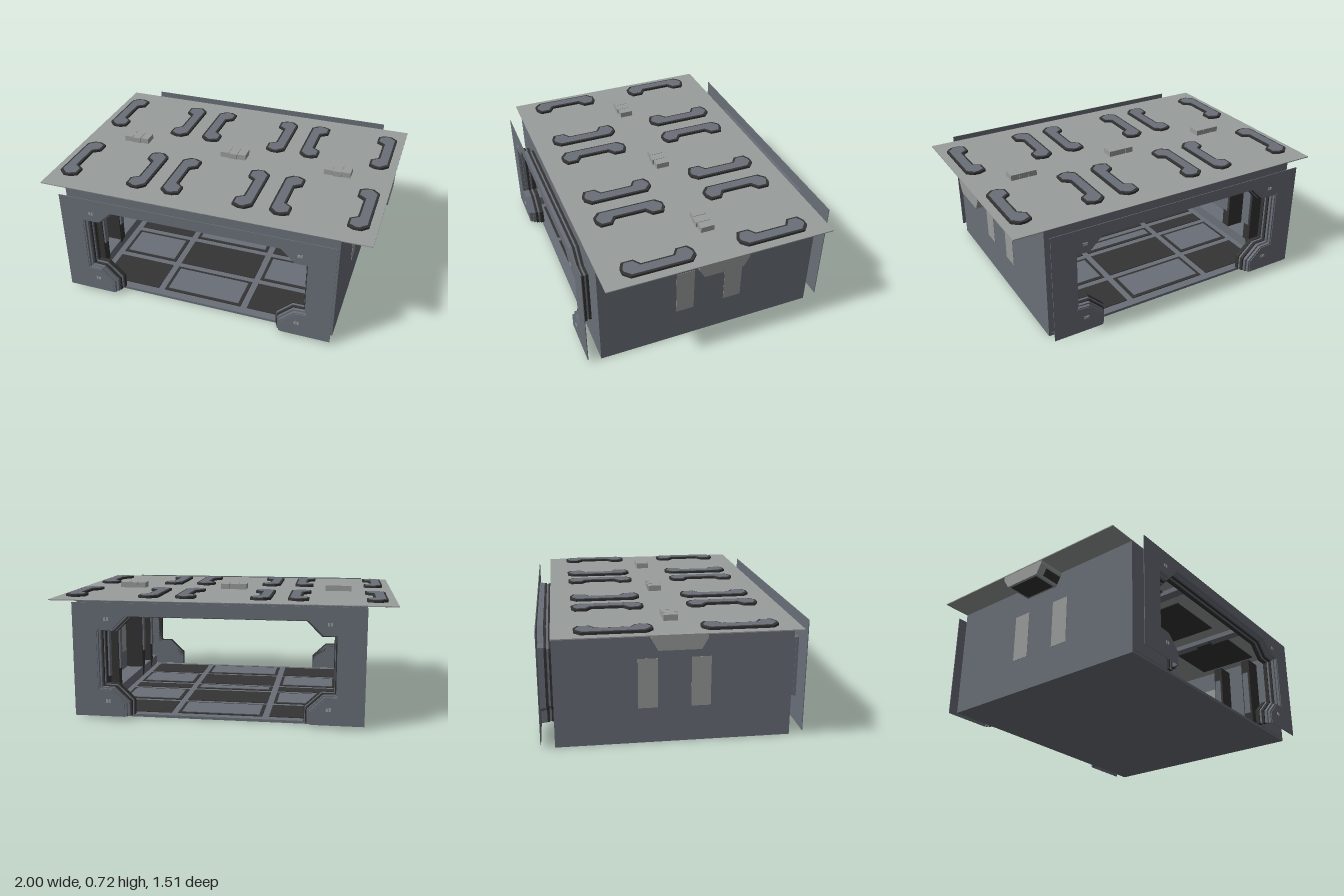
import * as THREE from 'three';

export function createModel() {
  const root = new THREE.Group();
  const mat = (name, color) => {
    const m = new THREE.MeshStandardMaterial({ color, side: THREE.DoubleSide, flatShading: true });
    m.name = name;
    return m;
  };
  const steel = mat('blue grey steel', 0x6a6f78);
  const pale = mat('pale grey', 0x999d9b);
  const dark = mat('dark grey', 0x343434);

  const add = (name, geo, m, parent = root) => {
    const mesh = new THREE.Mesh(geo, m);
    mesh.name = name;
    parent.add(mesh);
    return mesh;
  };
  // box given by its minimum and maximum corners
  const box = (name, m, [x0, y0, z0], [x1, y1, z1], parent = root) => {
    const b = add(name, new THREE.BoxGeometry(x1 - x0, y1 - y0, z1 - z0), m, parent);
    b.position.set((x0 + x1) / 2, (y0 + y1) / 2, (z0 + z1) / 2);
    return b;
  };
  const slab = (points, depth) => new THREE.ExtrudeGeometry(
    new THREE.Shape(points.map(p => new THREE.Vector2(p[0], p[1]))), { depth, bevelEnabled: false });

  // doorway outline, open at the bottom; t = 0 is the inner edge, 1 the outer edge
  const inner = [[0.49, 0.02], [0.49, 0.11], [0.585, 0.2], [0.655, 0.2], [0.655, 0.51], [0.585, 0.51], [0.5, 0.595]];
  const outer = [[0.535, 0.02], [0.535, 0.095], [0.615, 0.172], [0.69, 0.178], [0.69, 0.54], [0.605, 0.54], [0.525, 0.618]];
  const outline = t => {
    const half = inner.map(([x, y], i) => [x + (outer[i][0] - x) * t, y + (outer[i][1] - y) * t]);
    return [...half, ...half.map(([x, y]) => [-x, y]).reverse()];
  };
  const rectangle = [[-0.83, 0.02], [-0.83, 0.684], [0.83, 0.684], [0.83, 0.02]];

  // shell: floor, side walls
  box('floor', steel, [-0.83, 0, -0.67], [0.83, 0.016, 0.67]);
  for (const s of [-1, 1]) {
    const side = new THREE.Group();
    side.name = 'sideWall';
    side.rotation.y = s > 0 ? 0 : Math.PI;
    root.add(side);
    box('wallPanel', steel, [0.815, 0, -0.67], [0.83, 0.684, 0.67], side);
    for (const z of [-0.15, 0.15]) {
      box('outerWallPatch', pale, [0.83, 0.21, z - 0.055], [0.832, 0.5, z + 0.055], side);
      box('innerWallPatch', pale, [0.805, 0.21, z - 0.055], [0.815, 0.5, z + 0.055], side);
    }
    // inner ribs
    for (const z of [-0.5, -0.28, 0.28, 0.5]) {
      box('wallRib', dark, [0.7, 0.02, z - 0.03], [0.815, 0.6, z + 0.03], side);
      box('ribCap', steel, [0.69, 0.2, z - 0.02], [0.7, 0.5, z + 0.02], side);
    }
    box('skirting', steel, [0.7, 0.016, -0.66], [0.815, 0.08, 0.66], side);

    // tapered bracket under the overhanging roof
    const bracket = add('roofBracket',
      slab([[-0.15, 0.684], [-0.15, 0.66], [-0.115, 0.6], [0.115, 0.6], [0.15, 0.66], [0.15, 0.684]], 0.168), pale, side);
    bracket.rotation.y = Math.PI / 2;
    bracket.position.x = 0.83;
    box('bracketUnderside', dark, [0.845, 0.596, -0.1], [0.985, 0.6, 0.1], side);
    for (const e of [-1, 1]) {
      const inset = box('bracketInset', dark, [0.835, 0.607, -0.002], [0.95, 0.653, 0.002], side);
      inset.position.z = e * 0.1335;
      inset.rotation.x = e * 0.528;
    }
  }

  // both ends: wall, stepped doorway surround and face plate
  for (const s of [1, -1]) {
    const end = new THREE.Group();
    end.name = s > 0 ? 'frontEnd' : 'backEnd';
    end.rotation.y = s > 0 ? 0 : Math.PI;
    root.add(end);
    add('endWall', slab([...rectangle, ...outline(0.1)], 0.01), steel, end).position.z = 0.66;
    [[0, 0.75, 0.66, 0.685, dark], [0.12, 0.6, 0.685, 0.697, steel], [0.25, 0.85, 0.697, 0.712, dark],
      [0.45, 0.9, 0.712, 0.73, steel], [0.75, 1, 0.73, 0.746, steel]].forEach(([a, b, z0, z1, m]) => {
      add('doorwayStep', slab([...outline(b), ...outline(a).reverse()], z1 - z0), m, end).position.z = z0;
    });
    add('facePlate', slab([...rectangle, ...outline(1)], 0.004), steel, end).position.z = 0.746;
    for (const x of [-1, 1]) {
      for (const y of [0.11, 0.59]) {
        for (const d of [-0.008, 0.008]) {
          box('plateStud', pale, [x * 0.63 + d - 0.006, y - 0.009, 0.748], [x * 0.63 + d + 0.006, y + 0.009, 0.754], end);
        }
      }
    }
  }

  // floor tiles in a framed grid
  const columns = [-0.68, -0.27, 0.27, 0.68];
  const rows = [-0.64, -0.36, -0.07, 0.07, 0.36, 0.64];
  for (let i = 0; i < 3; i++) {
    for (let j = 0; j < 5; j++) {
      const a = [columns[i] + 0.02, 0.016, rows[j] + 0.02];
      const b = [columns[i + 1] - 0.02, 0.02, rows[j + 1] - 0.02];
      box('floorTileFrame', dark, a, b);
      if ((i + j) % 2) box('floorTile', steel, [a[0] + 0.02, 0.02, a[2] + 0.02], [b[0] - 0.02, 0.023, b[2] - 0.02]);
    }
  }

  // roof and ceiling
  box('roof', pale, [-1, 0.68, -0.67], [1, 0.686, 0.67]);
  box('ceiling', pale, [-0.815, 0.635, -0.66], [0.815, 0.64, 0.66]);
  for (const x of [-0.54, 0, 0.54]) {
    for (const z of [-0.34, 0.34]) box('ceilingPanel', dark, [x - 0.2, 0.628, z - 0.2], [x + 0.2, 0.635, z + 0.2]);
  }
  for (const x of [-0.33, 0.33]) {
    box('ceilingBeam', steel, [x - 0.03, 0.605, -0.66], [x + 0.03, 0.635, 0.66]);
    for (const z of [-0.4, 0.4]) box('ceilingFitting', dark, [x - 0.025, 0.588, z - 0.05], [x + 0.025, 0.605, z + 0.05]);
  }
  box('ceilingLamp', pale, [-0.04, 0.594, -0.05], [0.04, 0.635, 0.05]);

  // C-shaped clamps on the roof: spine at -x, jaws toward +x
  const clamp = k => [[-0.06, 0.175], [-0.022, 0.21], [0.022, 0.21], [0.06, 0.19], [0.06, 0.122], [0.018, 0.092],
    [0.018, -0.092], [0.06, -0.122], [0.06, -0.19], [0.022, -0.21], [-0.022, -0.21], [-0.06, -0.175]]
    .map(([x, y], i) => {
      const notch = i === 5 || i === 6;
      const lip = i === 4 || i === 7;
      return [x - Math.sign(x) * k, lip ? y + Math.sign(y) * k * 0.6 : notch ? y + Math.sign(y) * k * 0.6 : y - Math.sign(y) * k];
    });
  const rim = slab(clamp(0), 0.014).rotateX(-Math.PI / 2);
  const pad = slab(clamp(0.012), 0.003).rotateX(-Math.PI / 2);
  [-0.89, -0.442, -0.223, 0.223, 0.442, 0.89].forEach((x, i) => {
    for (const z of [-0.34, 0.34]) {
      const g = new THREE.Group();
      g.name = 'roofClamp';
      g.position.set(x, 0.686, z);
      g.rotation.y = i % 2 ? Math.PI : 0;
      root.add(g);
      add('clampRim', rim, dark, g);
      add('clampPad', pad, steel, g).position.y = 0.014;
    }
  });

  // small blocks along the middle of the roof
  for (const x of [-0.667, 0, 0.667]) {
    [[-0.082, -0.03], [-0.027, 0.027], [0.03, 0.082]].forEach(([a, b], i) => {
      box('roofBlock', pale, [x + a, 0.686, -0.053], [x + b, 0.72, i === 1 ? 0.034 : 0.028]);
    });
    box('roofBlockCore', pale, [x - 0.08, 0.686, -0.05], [x + 0.08, 0.717, 0.026]);
  }
  return root;
}
